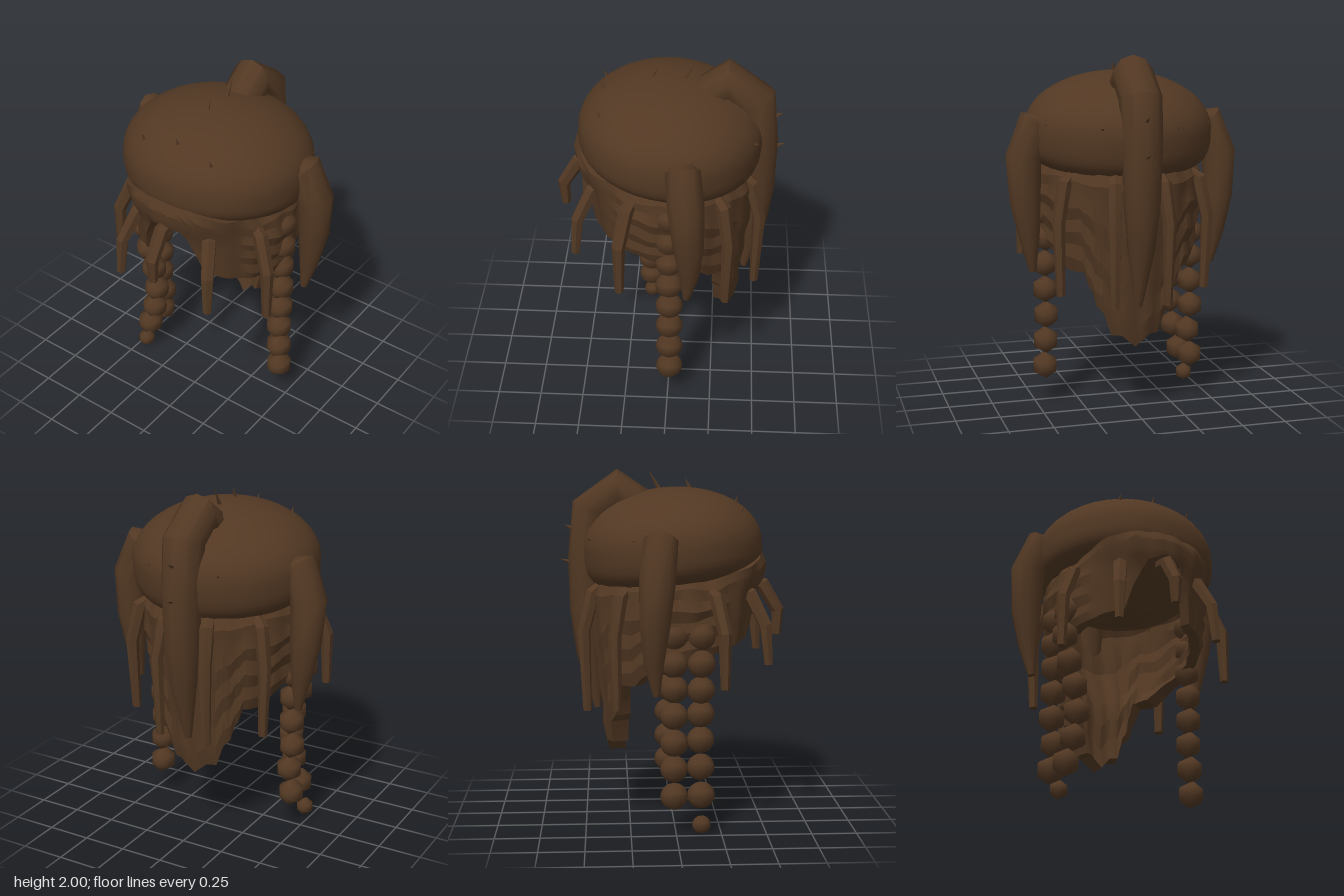
import * as THREE from 'three';
import { toCreasedNormals } from 'three/addons/utils/BufferGeometryUtils.js';

const brown = new THREE.MeshStandardMaterial({ color: 0x523823 });
brown.name = 'darkBrown';
const V = (a) => new THREE.Vector3(...a);

function add(group, name, geometry) {
  const mesh = new THREE.Mesh(geometry, brown);
  mesh.name = name;
  group.add(mesh);
  return mesh;
}

function fromGrid(pos, idx, crease) {
  const g = new THREE.BufferGeometry();
  g.setAttribute('position', new THREE.Float32BufferAttribute(pos, 3));
  g.setIndex(idx);
  return toCreasedNormals(g, crease);
}

// Capped, tapering tube through points; side is the normal of the bending plane
function loft(points, radii, side, sides, crease) {
  const P = points.map(V), pos = [], idx = [], n = P.length;
  P.forEach((p, i) => {
    const t = P[Math.min(i + 1, n - 1)].clone().sub(P[Math.max(i - 1, 0)]).normalize();
    const u = side.clone().addScaledVector(t, -side.dot(t)).normalize();
    const v = t.clone().cross(u);
    for (let j = 0; j < sides; j++) {
      const a = ((j + 0.5) / sides) * Math.PI * 2;
      const q = p.clone().addScaledVector(u, Math.cos(a) * radii[i]).addScaledVector(v, Math.sin(a) * radii[i]);
      pos.push(q.x, q.y, q.z);
    }
  });
  pos.push(...points[0], ...points[n - 1]);
  const c0 = n * sides, c1 = c0 + 1;
  for (let j = 0; j < sides; j++) {
    const k = (j + 1) % sides;
    for (let i = 0; i < n - 1; i++) {
      const a = i * sides + j, b = i * sides + k;
      idx.push(a, b, b + sides, a, b + sides, a + sides);
    }
    idx.push(c0, k, j, c1, (n - 1) * sides + j, (n - 1) * sides + k);
  }
  return fromGrid(pos, idx, crease);
}

// Linear interpolation in a list of [key, value]
function table(list, x) {
  for (let i = 1; i < list.length; i++) {
    const [x0, y0] = list[i - 1], [x1, y1] = list[i];
    if (x <= x1) return y0 + ((y1 - y0) * Math.max(0, x - x0)) / (x1 - x0);
  }
  return list[list.length - 1][1];
}

// Rounded cap: elliptical above, squarer below and deeper towards the back
function capGeometry() {
  const profile = [];
  for (let i = 0; i <= 28; i++) {
    const a = (i / 28 - 0.5) * Math.PI, e = a < 0 ? 2 / 3.6 : 1;
    profile.push(new THREE.Vector2(
      i % 28 ? Math.pow(Math.cos(a), e) : 0,
      Math.sign(a) * Math.pow(Math.abs(Math.sin(a)), e)));
  }
  const g = new THREE.LatheGeometry(profile, 36);
  const p = g.attributes.position;
  for (let i = 0; i < p.count; i++) {
    const y = p.getY(i), z = p.getZ(i) * 0.512;
    p.setXYZ(i, p.getX(i) * 0.534, y * (y < 0 ? 0.235 - 0.07 * z : 0.32), z);
  }
  return toCreasedNormals(g, 1.2);
}

// Wrapped cloth wall: arched open at the front, hanging to a tail at the back
function clothGeometry() {
  const hem = [[0, 1.39], [12, 1.35], [21, 1.2], [27, 1.06], [60, 1.0], [90, 0.95], [115, 0.87], [123, 0.81],
    [138, 0.81], [141, 0.73], [144, 0.7], [147, 0.62], [153, 0.58], [159, 0.45], [168, 0.45], [180, 0.38]];
  const top = [[0, 1.53], [18, 1.52], [45, 1.45], [60, 1.41], [180, 1.4]];
  const radius = [[0.38, 0.375], [0.8, 0.42], [1.05, 0.452], [1.25, 0.475], [1.32, 0.465], [1.42, 0.43]];
  const lipRadius = [[1.05, 0.45], [1.3, 0.485], [1.4, 0.525], [1.47, 0.535], [1.53, 0.508]];
  const depth = [[0.45, 0.1], [0.8, 0.13], [0.95, 0.06]];
  const N = 120, M = 9, ring = 2 * M, pos = [], idx = [];
  for (let i = 0; i < N; i++) {
    const deg = (i / N) * 360, d = Math.min(deg, 360 - deg), a = THREE.MathUtils.degToRad(deg);
    const y0 = table(top, d), y1 = table(hem, d);
    const lip = table([[0, 1], [35, 1], [65, 0]], d);
    for (let r = 0; r < ring; r++) {
      const outer = r < M, row = outer ? r : ring - 1 - r, t = row / (M - 1);
      const inside = row > 0 && row < M - 1;
      const y = y0 + (y1 - y0) * t + (inside ? (1 - lip) * 0.01 * Math.sin(i * 0.48 + row) : 0);
      const R0 = THREE.MathUtils.lerp(table(radius, y), table(lipRadius, y), lip);
      const fold = (1 - lip) * (row % 2 ? 0.008 : -0.006) + 0.005 * Math.sin(i * 1.02);
      const R = R0 + fold - (outer ? 0 : table(depth, y));
      const z = R * Math.cos(a);
      pos.push(R * Math.sin(a), y, y < 0.84 && d > 132 ? Math.min(z, -0.245) : z);
      const b = ((i + 1) % N) * ring, s = (r + 1) % ring;
      idx.push(i * ring + r, i * ring + s, b + s, i * ring + r, b + s, b + r);
    }
  }
  return fromGrid(pos, idx, 0.3);
}

export function createModel() {
  const model = new THREE.Group();
  model.name = 'hornedHeaddress';

  const cap = add(model, 'cap', capGeometry());
  cap.rotation.x = -0.06;
  cap.position.y = 1.577;

  add(model, 'clothWrap', clothGeometry());

  // Horns at the sides and one over the back
  for (const s of [1, -1]) {
    add(model, 'sideHorn', loft(
      [[0.43, 1.58, -0.08], [0.505, 1.615, -0.085], [0.57, 1.43, -0.105], [0.565, 1.18, -0.12], [0.545, 0.98, -0.125], [0.525, 0.79, -0.11]]
        .map(([x, y, z]) => [s * x, y, z]),
      [0.09, 0.098, 0.102, 0.086, 0.058, 0.02], new THREE.Vector3(0, 0, 1), 10, 0.9));
  }
  add(model, 'backHorn', loft(
    [[0, 1.7, -0.13], [0, 1.775, -0.18], [0, 1.88, -0.31], [0, 1.77, -0.455], [0, 1.5, -0.48], [0, 1.2, -0.485], [0, 0.95, -0.475], [0, 0.63, -0.43]],
    [0.1, 0.115, 0.118, 0.117, 0.112, 0.1, 0.075, 0.02], new THREE.Vector3(1, 0, 0), 10, 0.9));

  // Tendrils around the rim: angle from front, then [distance out, height] steps
  const tendrils = [
    [0, [[0.44, 1.36], [0.52, 1.34], [0.61, 1.19], [0.605, 1.05]]],
    [30, [[0.4, 1.34], [0.49, 1.31], [0.585, 1.14], [0.605, 0.92]]],
    [63, [[0.42, 1.34], [0.49, 1.31], [0.575, 1.12], [0.58, 0.82]]],
    [128, [[0.42, 1.35], [0.49, 1.31], [0.54, 1.1], [0.525, 0.69]]],
    [163, [[0.42, 1.35], [0.47, 1.31], [0.525, 1.1], [0.51, 0.64]]],
  ];
  for (const [deg, steps] of tendrils) {
    for (const s of deg ? [1, -1] : [1]) {
      const a = s * THREE.MathUtils.degToRad(deg);
      const pts = steps.map(([r, y]) => [r * Math.sin(a), y, r * Math.cos(a)]);
      add(model, 'tendril', loft(pts, [0.035, 0.042, 0.037, 0.025], new THREE.Vector3(Math.cos(a), 0, -Math.sin(a)), 6, 0.3));
    }
  }

  // Bead strands, listed as sideways positions and heights
  const bead = new THREE.SphereGeometry(0.077, 6, 8).rotateX(Math.PI / 2).rotateZ(Math.PI / 2);
  const strands = [
    ['leftBeads', -0.01, [[0.43, 1.26], [0.435, 1.11], [0.43, 0.96], [0.435, 0.81], [0.435, 0.66], [0.43, 0.51], [0.435, 0.36], [0.44, 0.21]]],
    ['rightFrontBeads', 0.14, [[-0.43, 1.1], [-0.44, 0.95], [-0.41, 0.8], [-0.375, 0.66], [-0.36, 0.51], [-0.38, 0.36], [-0.42, 0.21]]],
    ['rightRearBeads', -0.01, [[-0.43, 1.1], [-0.44, 0.95], [-0.435, 0.81], [-0.435, 0.66], [-0.44, 0.51], [-0.425, 0.36], [-0.44, 0.21]]],
  ];
  for (const [name, z, list] of strands) {
    const strand = new THREE.Group();
    strand.name = name;
    for (const [x, y] of list) add(strand, 'bead', bead).position.set(x, y, z);
    model.add(strand);
  }
  const endBead = add(model, 'endBead', bead);
  endBead.position.set(-0.457, 0.052, 0.14);
  endBead.scale.setScalar(0.67);

  // Small thorns: base position and tip position
  const thorns = [
    [[0, 1.78, 0.355], [0, 1.85, 0.375]],
    [[0.22, 1.74, 0.36], [0.22, 1.8, 0.385]], [[-0.22, 1.74, 0.36], [-0.22, 1.8, 0.385]],
    [[0, 1.87, 0.11], [0, 1.945, 0.075]],
    [[0, 1.86, -0.06], [0, 1.985, -0.13]],
    [[0.44, 1.6, -0.2], [0.475, 1.625, -0.235]], [[-0.44, 1.6, -0.2], [-0.475, 1.625, -0.235]],
    [[0.2, 1.6, -0.43], [0.22, 1.62, -0.48]], [[-0.2, 1.6, -0.43], [-0.22, 1.62, -0.48]],
    [[0, 1.66, -0.56], [0, 1.685, -0.61]],
    [[0, 1.47, -0.57], [0, 1.49, -0.635]],
  ];
  for (const [base, tip] of thorns) {
    add(model, 'thorn', loft([base, tip], [0.016, 0.001], new THREE.Vector3(1, 0, 0), 5, 0.3));
  }
  return model;
}
